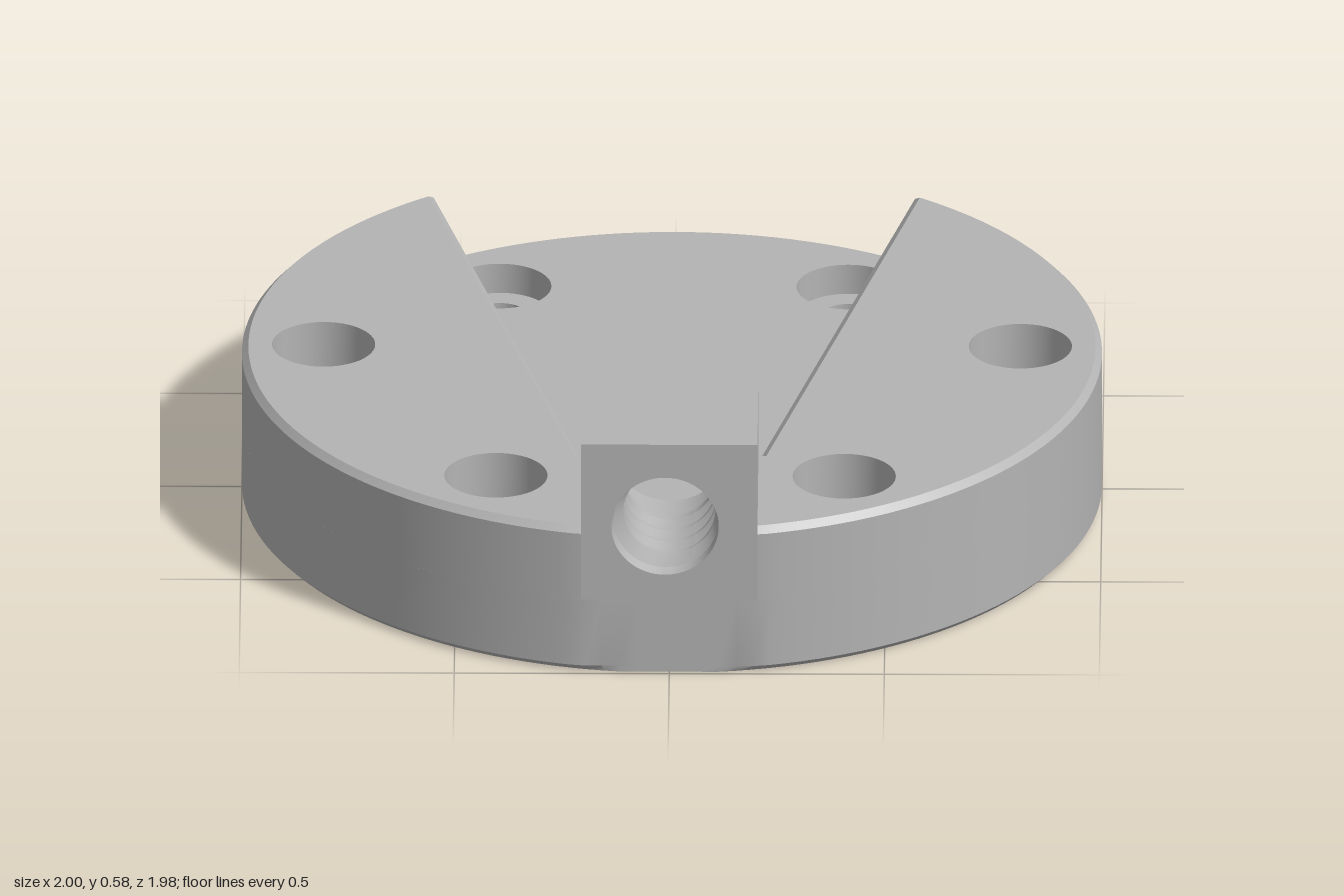
import * as THREE from 'three';
import { toCreasedNormals } from 'three/addons/utils/BufferGeometryUtils.js';

const CZ = 0.0106;           // disc centre in z
const FLAT = 0.989;          // front flat
const FLOOR = 0.185, TOP = 0.37, SEAT = 0.11;
const HALF = 0.205, BACK = 0.6, BLOCK_TOP = 0.585;
const SLOPE = 0.25;          // flare of the dovetail slot

// Skin between closed rings of equal point count
function loft(rings) {
  const pos = [];
  for (let j = 0; j < rings.length - 1; j++) {
    const lo = rings[j], hi = rings[j + 1], n = lo.length;
    for (let i = 0; i < n; i++) {
      const k = (i + 1) % n;
      pos.push(...lo[i], ...lo[k], ...hi[k], ...lo[i], ...hi[k], ...hi[i]);
    }
  }
  const g = new THREE.BufferGeometry();
  g.setAttribute('position', new THREE.Float32BufferAttribute(pos, 3));
  return toCreasedNormals(g, 0.4);
}

// Flat shape with round holes given as [x, y, r]
function plate(points, holes) {
  const shape = new THREE.Shape(points.map(([x, y]) => new THREE.Vector2(x, y)));
  for (const [x, y, r] of holes) {
    shape.holes.push(new THREE.Path().absarc(x, y, r, 0, Math.PI * 2, true));
  }
  return new THREE.ShapeGeometry(shape, 32);
}

// Horizontal plate from a ring, facing up or down
function cap(ring, holes, y, up) {
  const s = up ? -1 : 1;
  return plate(ring.map((p) => [p[0], s * p[2]]), holes.map(([x, z, r]) => [x, s * z, r]))
    .rotateX(s * Math.PI / 2).translate(0, y, 0);
}

// Disc outline clipped by the front flat
function discRing(y, r, n = 160) {
  return Array.from({ length: n }, (_, i) => {
    const a = (i / n) * Math.PI * 2;
    return [r * Math.sin(a), y, Math.min(CZ + r * Math.cos(a), FLAT)];
  });
}

// Outline of one raised wing; d is the undercut of the slot wall
function wingRing(side, y, d, r) {
  const n = 72, c = (HALF + d + SLOPE * (BACK - CZ)) / r;
  const a0 = Math.asin(0.19 / r);
  const a1 = Math.PI - Math.asin(c / Math.hypot(1, SLOPE)) - Math.atan(SLOPE);
  const ring = [];
  for (let i = 0; i <= n; i++) {
    const a = a0 + (a1 - a0) * (i / n);
    ring.push([side * r * Math.sin(a), y, Math.min(CZ + r * Math.cos(a), FLAT)]);
  }
  ring.push([side * (HALF + d), y, BACK], [side * 0.19, y, BACK]);
  return side > 0 ? ring : ring.reverse();
}

export function createModel() {
  const group = new THREE.Group();
  const metal = new THREE.MeshStandardMaterial({ color: 0xb4b4b4, side: THREE.DoubleSide });
  metal.name = 'plain grey metal';
  const add = (name, geometry, parent = group) => {
    const mesh = new THREE.Mesh(geometry, metal);
    mesh.name = name;
    parent.add(mesh);
  };

  // Six counterbored screw holes on one bolt circle
  const bolts = Array.from({ length: 6 }, (_, i) => {
    const a = Math.PI / 2 + (i * Math.PI) / 3;
    return [0.81 * Math.sin(a), CZ - 0.005 + 0.81 * Math.cos(a)];
  });
  const bored = (list, r) => list.map(([x, z]) => [x, z, r]);
  const inSlot = ([x, z]) => z < -0.3;

  // Base disc with chamfered lower rim
  const base = new THREE.Group();
  base.name = 'baseDisc';
  group.add(base);
  add('baseRim', loft([discRing(0, 0.985), discRing(0.015, 1), discRing(FLOOR, 1)]), base);
  add('underside', cap(discRing(0, 0.985), bored(bolts, 0.065), 0, false), base);
  add('slotFloor', cap(discRing(FLOOR, 1), bored(bolts, 0.12), FLOOR, true), base);

  // Raised wings either side of the dovetail slot: [height, undercut, radius]
  const profile = [
    [FLOOR, 0.063, 1], [0.194, 0.074, 1], [0.21, 0.079, 1],
    [0.34, 0.004, 1], [0.354, 0, 1], [TOP, 0.018, 0.985],
  ];
  for (const side of [1, -1]) {
    const wing = new THREE.Group();
    wing.name = side > 0 ? 'leftWing' : 'rightWing';
    group.add(wing);
    const rings = profile.map(([y, d, r]) => wingRing(side, y, d, r));
    const holes = bolts.filter((b) => b[0] * side > 0 && !inSlot(b));
    add('wingWall', loft(rings), wing);
    add('wingTop', cap(rings[rings.length - 1], bored(holes, 0.12), TOP, true), wing);
  }

  // Walls and seats of the screw holes
  for (const bolt of bolts) {
    const [x, z] = bolt, n = 64;
    const circle = (y, r) => Array.from({ length: n }, (_, i) => {
      const a = (-i / n) * Math.PI * 2;
      return [x + r * Math.sin(a), y, z + r * Math.cos(a)];
    });
    const top = inSlot(bolt) ? FLOOR : TOP;
    add('screwHole', loft([circle(0, 0.065), circle(SEAT, 0.065)]));
    add('screwSeat', loft([circle(SEAT, 0.065), circle(SEAT, 0.12)]));
    add('counterbore', loft([circle(SEAT, 0.12), circle(top, 0.12)]));
  }

  // Stop block at the narrow end of the slot
  const block = new THREE.Group();
  block.name = 'stopBlock';
  group.add(block);
  const face = [[-HALF, FLOOR], [HALF, FLOOR], [HALF, BLOCK_TOP], [-HALF, BLOCK_TOP]];
  const faceRing = (z) => face.map(([x, y]) => [x, y, z]);
  add('blockSides', loft([faceRing(BACK), faceRing(FLAT)]), block);
  add('blockFront', plate(face, [[-0.01, 0.375, 0.125]]).translate(0, 0, FLAT), block);
  add('blockBack', plate(face, [[0, 0.395, 0.14]]).rotateY(Math.PI)
    .translate(0, 0, BACK), block);

  // Threaded bore, front to back: [z, x, y, radius]
  const bore = [[FLAT, -0.01, 0.375, 0.125], [0.965, -0.008, 0.38, 0.122], [0.95, 0, 0.395, 0.107]];
  for (let z = 0.94; z > 0.8; z -= 0.06) {
    bore.push([z, 0, 0.395, 0.107], [z - 0.015, 0, 0.395, 0.135],
      [z - 0.035, 0, 0.395, 0.135], [z - 0.05, 0, 0.395, 0.107]);
  }
  bore.push([0.75, 0, 0.395, 0.107], [0.73, 0, 0.395, 0.14], [BACK, 0, 0.395, 0.14]);
  add('threadedBore', loft(bore.map(([z, x, y, r]) => Array.from({ length: 64 }, (_, i) => {
    const a = (i / 64) * Math.PI * 2;
    return [x + r * Math.cos(a), y + r * Math.sin(a), z];
  }))), block);

  return group;
}
